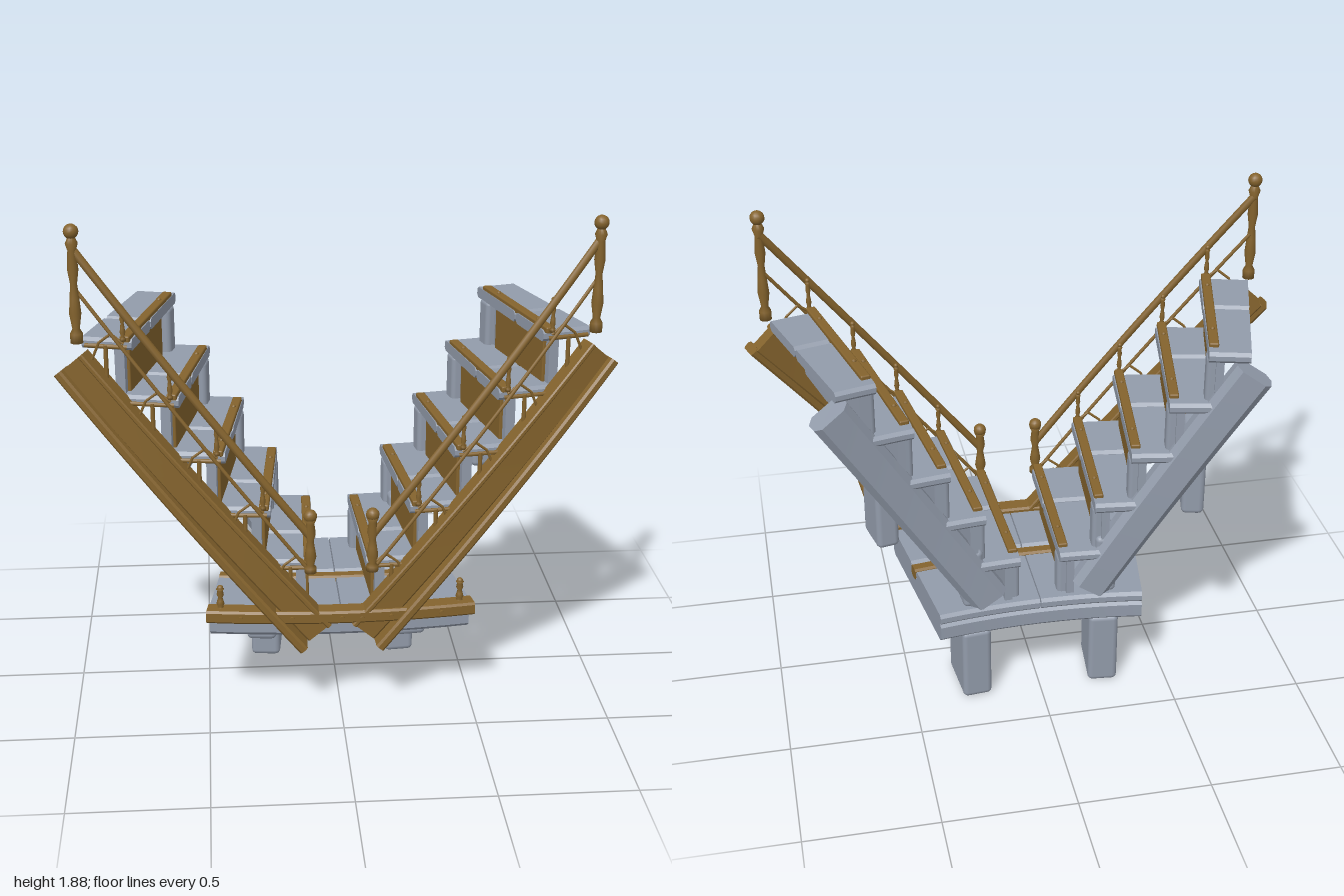
import * as THREE from 'three';
import { toCreasedNormals } from 'three/addons/utils/BufferGeometryUtils.js';
import { RoundedBoxGeometry } from 'three/addons/geometries/RoundedBoxGeometry.js';

const stone = new THREE.MeshStandardMaterial({ color: 0x929baa });
stone.name = 'stone';
const wood = new THREE.MeshStandardMaterial({ color: 0x84632d });
wood.name = 'wood';

// The stairs curve around a vertical axis at z = ZC; angles are in degrees
const ZC = -2.92, D = Math.PI / 180;
const at = (r, deg, y) => new THREE.Vector3(r * Math.sin(deg * D), y, ZC + r * Math.cos(deg * D));

const STEPS = 5, RISE = 0.21, TURN = 2.87, START = 2.1, END = 16.45;
const treadTop = i => 0.615 + RISE * i;
const nosingAngle = i => START + TURN * i;
const pitch = deg => 0.615 + (deg - START) * RISE / TURN;

// Rectangle with cut corners, in radius and height
function section(r0, r1, h0, h1, c = 0.008) {
  return [[r0 + c, h0], [r1 - c, h0], [r1, h0 + c], [r1, h1 - c],
    [r1 - c, h1], [r0 + c, h1], [r0, h1 - c], [r0, h0 + c]];
}

// Sweeps a section around the axis from angle a0 to a1, rising from y0 to y1
function sweep(sec, a0, a1, y0, y1 = y0, n = 10) {
  const rMid = (sec[0][0] + sec[1][0]) / 2;
  const tilt = Math.atan2(y1 - y0, (a1 - a0) * D * rMid);
  const pos = [], idx = [], m = sec.length;
  for (let i = 0; i <= n; i++) {
    const t = i / n;
    for (const [r, h] of sec) {
      const a = a0 + (a1 - a0) * t - h * Math.sin(tilt) / rMid / D;
      pos.push(...at(r, a, y0 + (y1 - y0) * t + h * Math.cos(tilt)).toArray());
    }
  }
  for (let i = 0; i < n; i++) for (let j = 0; j < m; j++) {
    const a = i * m + j, b = i * m + (j + 1) % m;
    idx.push(a, a + m, b, b, a + m, b + m);
  }
  for (let j = 1; j < m - 1; j++) {
    idx.push(0, j, j + 1, n * m, n * m + j + 1, n * m + j);
  }
  const g = new THREE.BufferGeometry();
  g.setAttribute('position', new THREE.Float32BufferAttribute(pos, 3));
  g.setIndex(idx);
  return toCreasedNormals(g, 0.6);
}

// Puts a geometry at a polar position, its z axis pointing outwards
const place = (g, r, deg, y) => {
  const p = at(r, deg, y);
  return g.rotateY(deg * D).translate(p.x, p.y, p.z);
};
const block = (w, h, d, r, deg, y, round = 0.012) =>
  place(new RoundedBoxGeometry(w, h, d, 2, round), r, deg, y);

// Tube through points
const tube = (pts, radius, n = 16) =>
  new THREE.TubeGeometry(new THREE.CatmullRomCurve3(pts), n, radius, 8);
const rod = (a, b, radius) => {
  const dir = b.clone().sub(a), c = a.clone().add(b).multiplyScalar(0.5);
  return new THREE.CylinderGeometry(radius, radius, dir.length(), 8)
    .applyQuaternion(new THREE.Quaternion().setFromUnitVectors(new THREE.Vector3(0, 1, 0), dir.normalize()))
    .translate(c.x, c.y, c.z);
};
const rail = (r, a0, a1, yOf, radius) => {
  const pts = [];
  for (let i = 0; i <= 8; i++) { const a = a0 + (a1 - a0) * i / 8; pts.push(at(r, a, yOf(a))); }
  return tube(pts, radius, 24);
};

// Turned post with a ball on top
function turned(height, w, ball) {
  const shape = [[0, 0], [1.2, 0], [1.2, 0.08], [0.7, 0.12], [1.15, 0.25], [0.9, 0.38], [0.65, 0.5],
    [1.05, 0.62], [0.8, 0.78], [1.2, 0.84], [0.6, 0.9], [0, 0.92]];
  const shaft = new THREE.LatheGeometry(shape.map(([x, y]) => new THREE.Vector2(x * w, y * height)), 12);
  return [shaft, new THREE.SphereGeometry(ball, 14, 10).translate(0, height - ball, 0)];
}

// Reflects a geometry in x and keeps its faces outward
function reflect(geo) {
  const g = geo.index ? geo.toNonIndexed() : geo.clone();
  for (const key of ['position', 'normal']) {
    const a = g.attributes[key], v = [];
    for (let t = 0; t < a.count; t += 3) for (const k of [t, t + 2, t + 1]) v.push(-a.getX(k), a.getY(k), a.getZ(k));
    g.setAttribute(key, new THREE.Float32BufferAttribute(v, 3));
  }
  return g;
}

export function createModel() {
  const model = new THREE.Group();
  model.name = 'doubleStaircase';
  const left = new THREE.Group(), right = new THREE.Group();
  left.name = 'leftFlight';
  right.name = 'rightFlight';
  model.add(left, right);
  const add = (parent, name, geo, mat) => {
    const mesh = new THREE.Mesh(geo, mat);
    mesh.name = name;
    parent.add(mesh);
  };
  const both = (name, geo, mat) => {
    add(left, name, geo, mat);
    add(right, name, reflect(geo), mat);
  };

  // Base platform with paving, wooden inlay and front beam
  add(model, 'platform', sweep(section(2.6, 3.25, 0.3, 0.38, 0.015), -8.7, 8.7, 0), stone);
  add(model, 'platformInlay', sweep(section(2.93, 2.98, 0.37, 0.418), -8.75, 8.75, 0), wood);
  add(model, 'frontBeam', sweep(section(3.24, 3.315, 0.38, 0.43), -8.75, 8.75, 0), wood);
  both('innerPaving', sweep(section(2.6, 2.925, 0.375, 0.42, 0.012), 0.05, 8.7, 0), stone);
  both('outerPaving', sweep(section(2.985, 3.24, 0.375, 0.42, 0.012), 0.05, 8.7, 0), stone);
  for (const a of [-6.5, -3.2, 0, 3.2, 6.5]) {
    add(model, 'beamBolt', place(new THREE.CylinderGeometry(0.009, 0.009, 0.012, 10).rotateX(Math.PI / 2), 3.317, a, 0.405), wood);
  }
  for (const g of turned(0.1, 0.013, 0.012)) both('platformFinial', place(g, 3.27, 7.9, 0.42), wood);

  // Legs, corbels and braces below the platform
  both('leg', block(0.115, 0.31, 0.23, 2.72, 5.5, 0.155, 0.02), stone);
  both('corbel', block(0.115, 0.13, 0.28, 2.92, 5.5, 0.25, 0.02), stone);
  both('legBrace', tube([at(3.22, 5.5, 0.32), at(3.0, 5.5, 0.21), at(2.82, 5.5, 0.1)], 0.022), wood);

  for (let i = 0; i < STEPS; i++) {
    const y = treadTop(i), a = nosingAngle(i);
    const end = i === STEPS - 1 ? END : a + TURN + 0.75;
    const below = i ? treadTop(i - 1) - 0.03 : 0.4;
    // Tread in two slabs with a bolted wooden nosing
    both('innerTread', sweep(section(2.61, 2.985, -0.042, 0, 0.012), a - 0.42, end, y, y, 4), stone);
    both('outerTread', sweep(section(2.995, 3.25, -0.042, 0, 0.012), a - 0.42, end, y, y, 4), stone);
    both('nosing', block(0.036, 0.024, 0.6, 2.96, a, y + 0.003, 0.006), wood);
    for (const r of [2.78, 3.15]) {
      both('nosingBolt', place(new THREE.SphereGeometry(0.009, 8, 6), r, a, y + 0.015), wood);
    }
    // Riser with wooden panel and inner pier
    const h = y - 0.035 - below, mid = below + h / 2;
    both('riser', sweep(section(2.63, 3.23, -h / 2, h / 2), a + 0.2, a + 0.85, mid, mid, 2), stone);
    both('riserPanel', block(0.02, h - 0.035, 0.44, 2.98, a + 0.17, mid + 0.008, 0.005), wood);
    both('riserPier', block(0.06, h, 0.08, 2.685, a + 0.12, mid, 0.018), stone);
    // Balusters and small struts at the outer edge
    if (i) for (const g of turned(0.13, 0.009, 0.009)) both('baluster', place(g, 3.265, a + 0.05, y), wood);
    const far = i === STEPS - 1 ? END - 0.3 : a + TURN;
    both('treadTrim', rail(3.262, a - 0.2, far, () => y - 0.025, 0.008), wood);
    for (const [p, q] of [[a, a + 0.8], [a + 1.6, a + 0.8], [a + 1.6, a + 2.6]]) {
      both('strut', rod(at(3.27, p, y - 0.01), at(3.27, q, y + (q === a + 0.8 ? 0.025 : -0.14)), 0.005), wood);
    }
    both('stringerPost', rod(at(3.265, a + 1.2, y - 0.2), at(3.265, a + 1.2, y - 0.02), 0.008), wood);
  }

  // Outer wooden stringer with mouldings
  both('outerStringer', sweep(section(3.245, 3.3, -0.05, 0.055), 1.5, 16.9, 0.335, 1.37, 24), wood);
  both('stringerMoulding', sweep(section(3.25, 3.33, -0.07, -0.035), 1.75, 16.95, 0.31, 1.37, 24), wood);
  both('stringerCap', sweep(section(3.24, 3.315, 0.042, 0.062, 0.005), 1.5, 16.9, 0.335, 1.37, 24), wood);

  // Inner stone stringer and its two piers
  both('innerStringer', sweep(section(2.605, 2.7, -0.075, 0.075, 0.025), 4.2, 16.8, 0.435, 1.36, 24), stone);
  both('lowerPier', block(0.08, 0.25, 0.15, 2.7, 5.6, 0.54, 0.02), stone);
  both('upperPier', block(0.085, 0.36, 0.16, 2.71, 12.6, 0.94, 0.02), stone);

  // Curved cross braces, each with a ring
  for (const [a, y0, y1, rIn, ringR, ringY] of [[5.6, 0.61, 0.42, 2.82, 2.9, 0.52], [12.6, 1.08, 0.83, 2.76, 2.91, 0.985]]) {
    const mid = at((3.25 + rIn) / 2, a, (y0 + y1) / 2 + 0.015);
    both('crossBrace', tube([at(3.25, a, y0), mid, at(rIn, a, y1)], 0.024), wood);
    both('braceRing', place(new THREE.TorusGeometry(0.045, 0.01, 8, 24).rotateY(Math.PI / 2), ringR, a, ringY), wood);
    both('ringHub', place(new THREE.CylinderGeometry(0.012, 0.012, 0.03, 10).rotateZ(Math.PI / 2), ringR, a, ringY), wood);
    both('ringSpoke', rod(at(ringR, a, ringY - 0.07), at(ringR, a, ringY + 0.045), 0.006), wood);
  }

  // Newels and handrails
  for (const g of turned(0.25, 0.019, 0.025)) both('lowerNewel', place(g, 3.28, 2, 0.58), wood);
  for (const g of turned(0.43, 0.019, 0.027)) both('upperNewel', place(g, 3.285, 16.5, 1.445), wood);
  both('handrail', rail(3.28, 2, 16.5, a => pitch(a) + 0.115, 0.015), wood);
  both('lowerRail', rail(3.275, 2.3, 16.4, a => pitch(a) - 0.03, 0.007), wood);
  return model;
}
